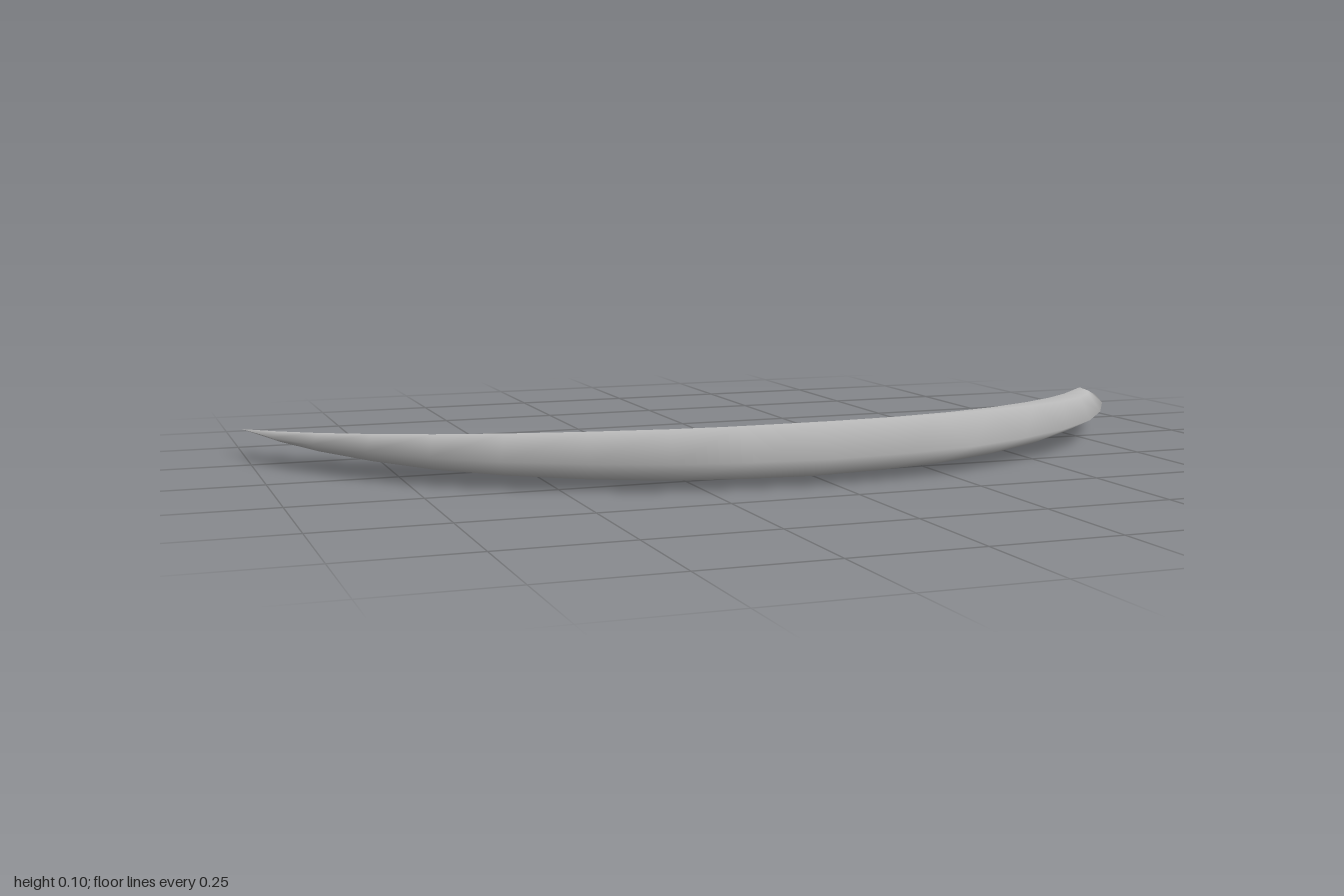
import * as THREE from 'three';

// Half outlines from the middle to the tip, as [x, z]
const OUTER = [[0, 0.405], [0.16, 0.39], [0.31, 0.36], [0.455, 0.297], [0.6, 0.212],
  [0.715, 0.117], [0.812, 0], [0.896, -0.13], [0.957, -0.257], [1, -0.405]];
const INNER = [[0, -0.071], [0.1, -0.071], [0.2, -0.073], [0.35, -0.085], [0.49, -0.111],
  [0.62, -0.15], [0.735, -0.2], [0.83, -0.255], [0.9, -0.308], [1, -0.405]];
const MID_Y = 0.052; // height of both cutting edges
const RIDGE = 0.262; // ridge position, from outer edge to inner edge

// Five points of the diamond section; the inner edge is doubled to stay sharp
function section(i) {
  const side = Math.sign(i);
  const [ox, oz] = OUTER[Math.abs(i)];
  const [ix, iz] = INNER[Math.abs(i)];
  const rx = ox + (ix - ox) * RIDGE;
  const rz = oz + (iz - oz) * RIDGE;
  const h = MID_Y * (rz + 0.405) / 0.685;
  return [[ix, MID_Y, iz], [rx, MID_Y + h, rz], [ox, MID_Y, oz],
    [rx, MID_Y - h, rz], [ix, MID_Y, iz]].map(([x, y, z]) => [x * side, y, z]);
}

// Skin the sections from the right tip to the left tip
function crescentGeometry() {
  const n = OUTER.length - 1;
  const positions = [];
  const indices = [];
  for (let i = -n; i <= n; i++) {
    positions.push(...section(i).flat());
    if (i === n) break;
    for (let j = 0; j < 4; j++) {
      const a = (i + n) * 5 + j;
      const c = a + 5;
      if (i > -n) indices.push(a, a + 1, c);
      if (i < n - 1) indices.push(a + 1, c + 1, c);
      // at the left tip both far corners meet, so one triangle is enough
    }
  }
  const geometry = new THREE.BufferGeometry();
  geometry.setAttribute('position', new THREE.Float32BufferAttribute(positions, 3));
  geometry.setIndex(indices);
  geometry.computeVertexNormals();
  return geometry;
}

export function createModel() {
  const steel = new THREE.MeshStandardMaterial({ color: 0xc0c0c0 });
  steel.name = 'steel grey';
  const blade = new THREE.Mesh(crescentGeometry(), steel);
  blade.name = 'crescentBlade';
  const model = new THREE.Group();
  model.name = 'crescent';
  model.add(blade);
  return model;
}
